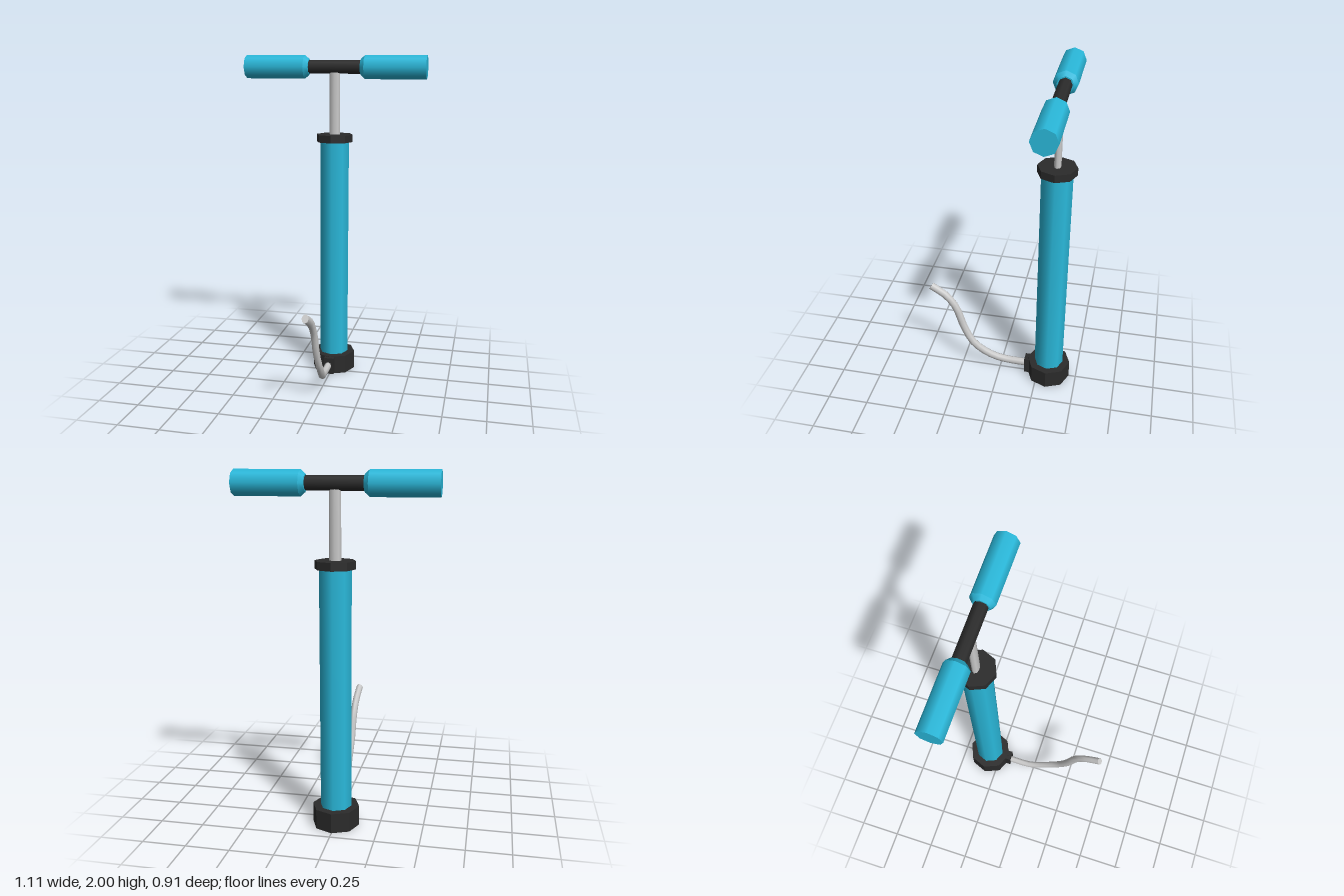
import * as THREE from 'three';

const blue = new THREE.MeshStandardMaterial({ color: 0x2ab9db });
const black = new THREE.MeshStandardMaterial({ color: 0x2b2b2b });
const blackFlat = new THREE.MeshStandardMaterial({ color: 0x2b2b2b, flatShading: true });
const grey = new THREE.MeshStandardMaterial({ color: 0xcccccc });

const AXIS_Z = -0.32; // the pump stands behind its hose
const HANDLE_Y = 1.93;

export function createModel() {
  const model = new THREE.Group();
  model.name = 'handPump';

  const add = (name, geometry, material, parent = model) => {
    const mesh = new THREE.Mesh(geometry, material);
    mesh.name = name;
    parent.add(mesh);
    return mesh;
  };

  // Upright eight-sided cylinder between two heights on the pump axis
  const column = (name, radius, y0, y1, material) => {
    const mesh = add(name, new THREE.CylinderGeometry(radius, radius, y1 - y0, 8), material);
    mesh.position.set(0, (y0 + y1) / 2, AXIS_Z);
    return mesh;
  };

  column('base', 0.135, 0, 0.115, blackFlat);
  column('barrel', 0.09, 0.1, 1.49, blue);
  column('barrelCap', 0.113, 1.48, 1.525, blackFlat);
  column('pistonRod', 0.033, 1.5, HANDLE_Y, grey).scale.z = 0.62;

  // Crossbar and two grips with chamfered inner ends
  const handle = new THREE.Group();
  handle.name = 'handle';
  handle.position.set(0, HANDLE_Y, AXIS_Z);
  model.add(handle);
  add('crossbar', new THREE.CylinderGeometry(0.04, 0.04, 0.36, 8), black, handle).rotation.z = Math.PI / 2;
  for (const side of [1, -1]) {
    const grip = new THREE.Group();
    grip.name = side > 0 ? 'leftGrip' : 'rightGrip';
    grip.rotation.z = -side * Math.PI / 2;
    handle.add(grip);
    add('gripSleeve', new THREE.CylinderGeometry(0.071, 0.071, 0.37, 8), blue, grip).position.y = 0.37;
    add('gripChamfer', new THREE.CylinderGeometry(0.071, 0.048, 0.026, 8), blue, grip).position.y = 0.172;
  }

  // Square outlet on the front of the base
  add('hoseOutlet', new THREE.BoxGeometry(0.062, 0.105, 0.07), black).position.set(0, 0.06, -0.2);

  // Curved hose, slightly narrower sideways, with a closed tip
  const squash = 0.8;
  const path = new THREE.CatmullRomCurve3([
    [-0.005, 0.06, -0.18], [-0.005, 0.065, -0.03], [0.008, 0.1, 0.06], [0.02, 0.19, 0.17],
    [0.015, 0.31, 0.235], [0.012, 0.455, 0.285], [0.008, 0.535, 0.345], [0.002, 0.595, 0.443],
  ].map(([x, y, z]) => new THREE.Vector3(x / squash, y, z)));
  const hose = new THREE.Group();
  hose.name = 'hose';
  hose.scale.x = squash;
  model.add(hose);
  add('hoseTube', new THREE.TubeGeometry(path, 18, 0.026, 8), grey, hose);
  const tip = add('hoseTip', new THREE.CircleGeometry(0.026, 8), grey, hose);
  tip.position.copy(path.getPoint(1));
  tip.quaternion.setFromUnitVectors(new THREE.Vector3(0, 0, 1), path.getTangent(1));

  return model;
}
